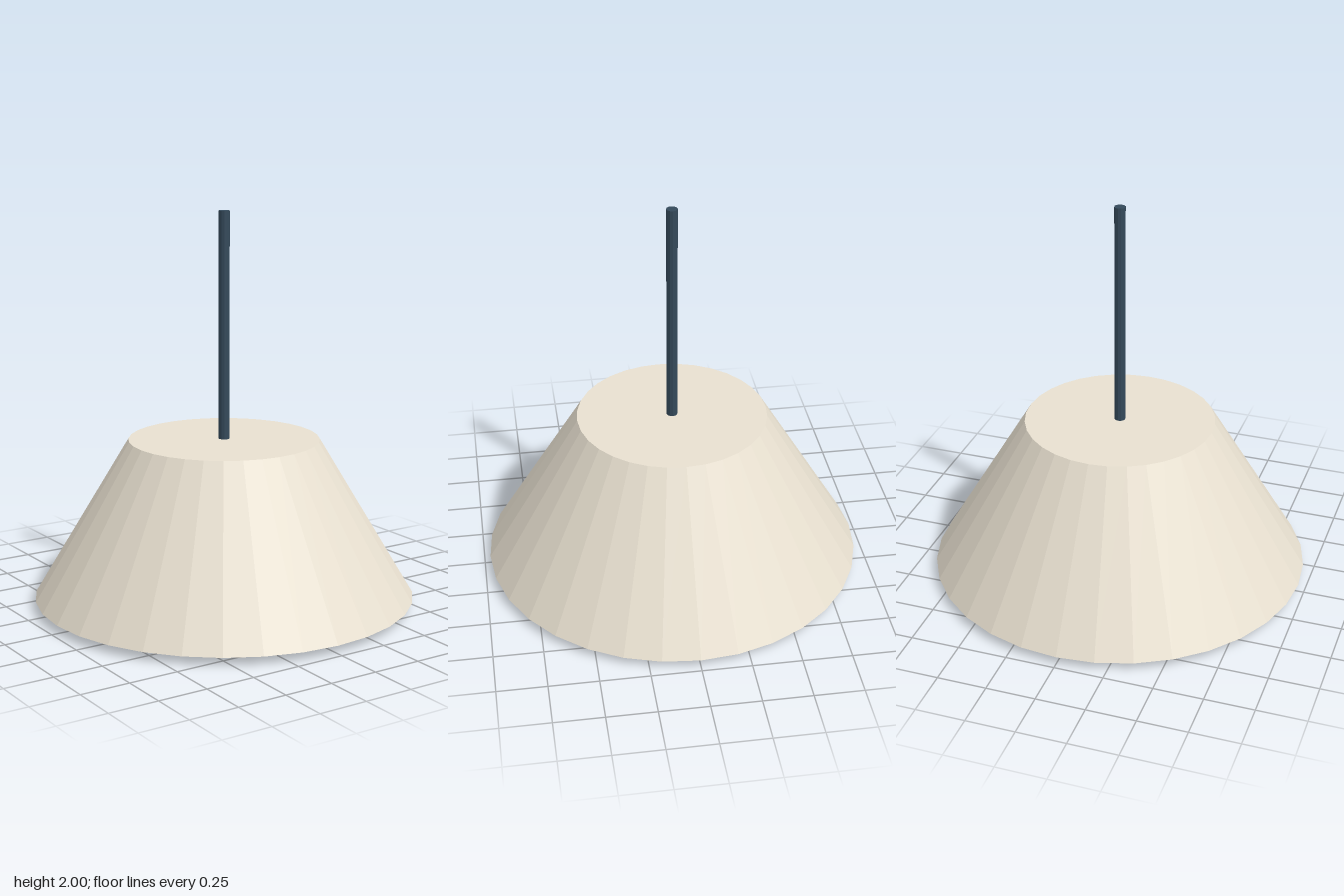
import * as THREE from 'three';

// Adds a faceted, capped drum spanning y0..y1
function addDrum(group, name, rTop, rBottom, y0, y1, sides, color) {
  const mesh = new THREE.Mesh(
    new THREE.CylinderGeometry(rTop, rBottom, y1 - y0, sides),
    new THREE.MeshStandardMaterial({ color, flatShading: true })
  );
  mesh.name = name;
  mesh.position.y = (y0 + y1) / 2;
  group.add(mesh);
}

export function createModel() {
  const lamp = new THREE.Group();
  lamp.name = 'pendantLamp';

  // Glowing disc that peeks out below the shade
  addDrum(lamp, 'diffuser', 0.84, 0.84, 0, 0.08, 32, 0x6fa89a);
  // Closed conical shade
  addDrum(lamp, 'shade', 0.485, 0.97, 0.04, 0.85, 32, 0xe8e0d0);
  // Hanging rod
  addDrum(lamp, 'rod', 0.028, 0.028, 0.85, 2, 12, 0x34495a);

  return lamp;
}
